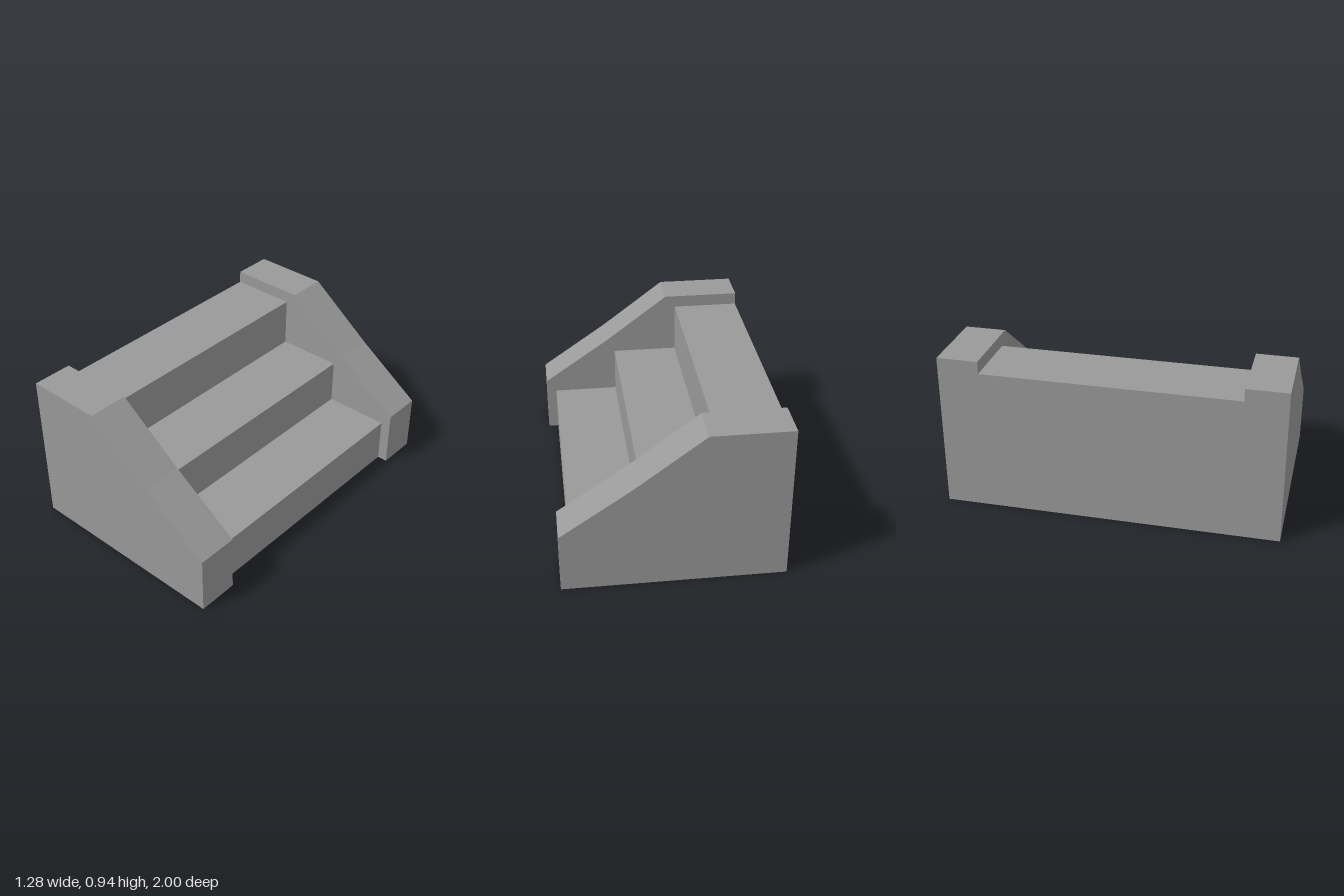
import * as THREE from 'three';

const material = new THREE.MeshStandardMaterial({ color: 0x999999, flatShading: true });

// Extrudes a side profile (x, y) along z, from z0 to z1
function extrudeProfile(name, points, z0, z1) {
  const shape = new THREE.Shape(points.map(([x, y]) => new THREE.Vector2(x, y)));
  const geometry = new THREE.ExtrudeGeometry(shape, { depth: z1 - z0, bevelEnabled: false });
  geometry.translate(0, 0, z0);
  const mesh = new THREE.Mesh(geometry, material);
  mesh.name = name;
  return mesh;
}

export function createModel() {
  const group = new THREE.Group();
  group.name = 'staircase';

  const back = -0.64, inner = 0.755, outer = 1;

  // Three solid steps, climbing towards -x: [nose x, tread height]
  const treads = [[0.578, 0.278], [0.172, 0.558], [-0.235, 0.863]];
  const stepProfile = [[back, 0], [treads[0][0], 0]];
  treads.forEach(([nose, height], i) => {
    const end = i + 1 < treads.length ? treads[i + 1][0] : back;
    stepProfile.push([nose, height], [end, height]);
  });
  group.add(extrudeProfile('steps', stepProfile, -inner, inner));

  // Sloping side walls, with a slight bend halfway down
  const wallProfile = [
    [back, 0], [0.64, 0], [0.64, 0.355], [0.23, 0.637], [-0.17, 0.938], [back, 0.938],
  ];
  group.add(extrudeProfile('frontSideWall', wallProfile, inner, outer));
  group.add(extrudeProfile('backSideWall', wallProfile, -outer, -inner));

  return group;
}
